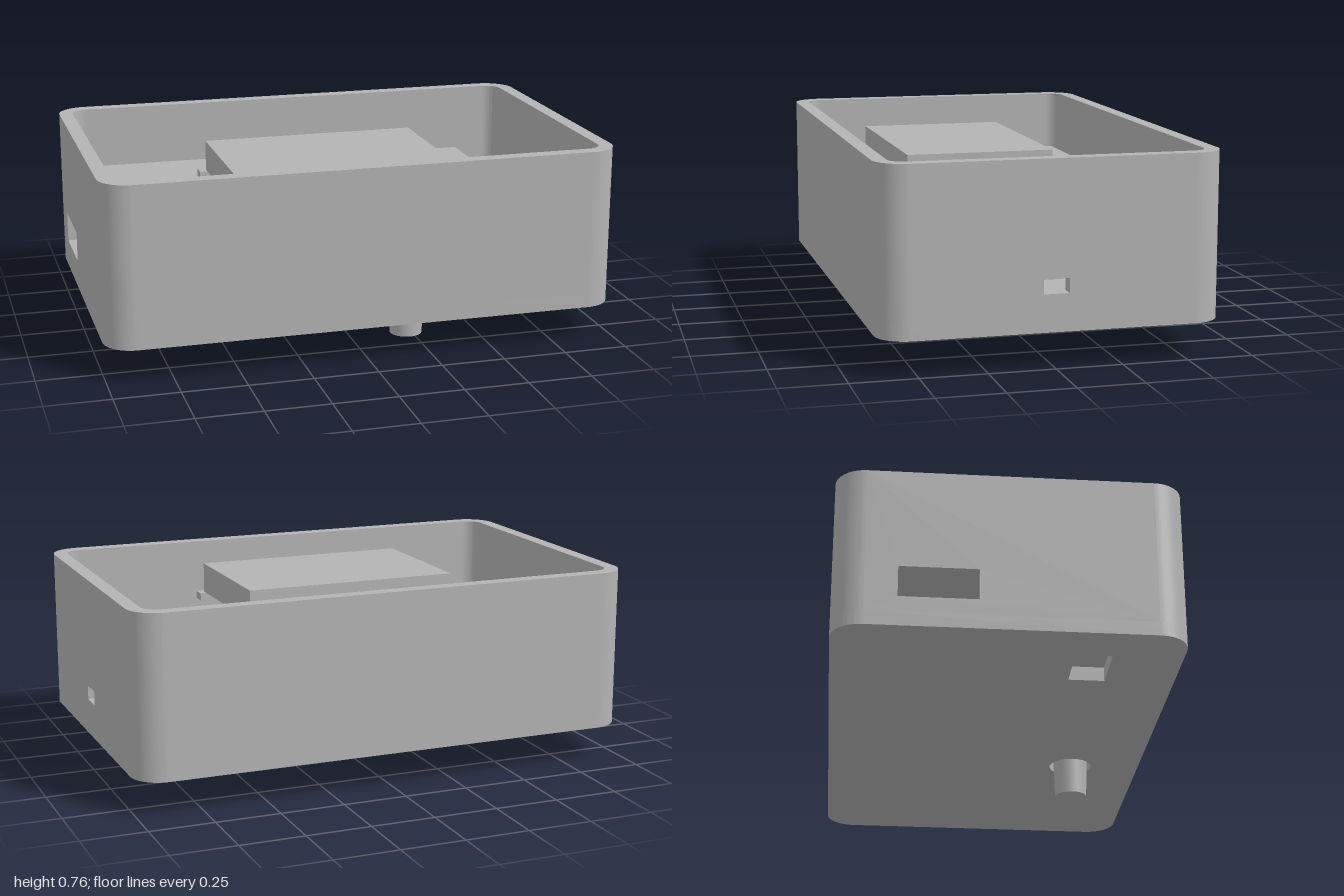
import * as THREE from 'three';
import { toCreasedNormals } from 'three/addons/utils/BufferGeometryUtils.js';

const BASE = 0.135, FLOOR = 0.19, TOP = 0.76; // heights of the tray
const W = 1, D = 0.64, T = 0.055, R = 0.115;  // half width, half depth, wall, corner radius

// Rectangular hole or outline, given by its limits
function rect(Type, x0, x1, y0, y1) {
  return new Type([[x0, y0], [x1, y0], [x1, y1], [x0, y1]].map(p => new THREE.Vector2(...p)));
}

function roundedRect(w, d, r) {
  const s = new THREE.Shape();
  s.absarc(w - r, d - r, r, 0, Math.PI / 2);
  s.absarc(r - w, d - r, r, Math.PI / 2, Math.PI);
  s.absarc(r - w, r - d, r, Math.PI, Math.PI * 1.5);
  s.absarc(w - r, r - d, r, Math.PI * 1.5, Math.PI * 2);
  s.closePath();
  return s;
}

function extrude(shape, depth) {
  const g = new THREE.ExtrudeGeometry(shape, { depth, bevelEnabled: false, curveSegments: 12 });
  return toCreasedNormals(g, 0.5);
}

export function createModel() {
  const model = new THREE.Group();
  const grey = new THREE.MeshStandardMaterial({ color: 0xb3b3b3 });
  grey.name = 'light grey';

  function add(name, geometry, parent = model) {
    const m = new THREE.Mesh(geometry, grey);
    m.name = name;
    parent.add(m);
    return m;
  }
  // Box from its limits on each axis
  function box(name, x0, x1, y0, y1, z0, z1, parent) {
    const m = add(name, new THREE.BoxGeometry(x1 - x0, y1 - y0, z1 - z0), parent);
    m.position.set((x0 + x1) / 2, (y0 + y1) / 2, (z0 + z1) / 2);
    return m;
  }

  // Tray floor with the button hole and the switch slot (shape y is -z)
  const tray = new THREE.Group();
  tray.name = 'tray';
  model.add(tray);
  const floor = roundedRect(W, D, R);
  const buttonHole = new THREE.Path();
  buttonHole.absarc(0.23, -0.36, 0.085, 0, Math.PI * 2, true);
  floor.holes.push(buttonHole, rect(THREE.Path, -0.82, -0.61, -0.38, -0.245));
  add('trayFloor', extrude(floor, FLOOR - BASE).rotateX(-Math.PI / 2), tray).position.y = BASE;

  // Front and back walls
  for (const s of [1, -1]) {
    const a = s * D, b = s * (D - T);
    box(s > 0 ? 'frontWall' : 'backWall', R - W, W - R, FLOOR, TOP, Math.min(a, b), Math.max(a, b), tray);
  }

  // Side walls, each with a socket opening (shape x is -z)
  function sideWall(name, x, z0, z1, y0, y1) {
    const s = rect(THREE.Shape, R - D, D - R, FLOOR, TOP);
    s.holes.push(rect(THREE.Path, -z1, -z0, y0, y1));
    add(name, extrude(s, T).rotateY(Math.PI / 2), tray).position.x = x;
  }
  sideWall('leftWall', W - T, -0.048, 0.048, 0.275, 0.33);
  sideWall('rightWall', -W, -0.405, -0.115, 0.25, 0.37);

  // Rounded corner posts
  const corner = new THREE.Shape();
  corner.absarc(0, 0, R, 0, Math.PI / 2, false);
  corner.absarc(0, 0, R - T, Math.PI / 2, 0, true);
  corner.closePath();
  const cornerGeometry = extrude(corner, TOP - FLOOR).rotateX(-Math.PI / 2);
  [[1, -1], [-1, -1], [-1, 1], [1, 1]].forEach(([sx, sz], i) => {
    const m = add('trayCorner', cornerGeometry, tray);
    m.position.set(sx * (W - R), FLOOR, sz * (D - R));
    m.rotation.y = i * Math.PI / 2;
  });

  // Display block on two mounting bars
  box('display', -0.46, 0.4, 0.58, 0.7, -0.16, 0.41);
  for (const z of [-0.19, 0.38]) box('displayBar', -0.49, 0.425, 0.55, 0.58, z, z + 0.06);

  // Circuit boards and their connectors
  box('mainBoard', -0.86, -0.145, 0.465, 0.527, -0.53, -0.02);
  box('boardSocket', -0.915, -0.83, 0.49, 0.552, -0.39, -0.16);
  box('batteryPack', -0.03, 0.71, 0.44, 0.527, -0.44, -0.02);
  box('sideSocket', 0.655, 0.9, 0.305, 0.42, -0.055, 0.048);

  // Low holders: a plate between two upright rails
  function holder(name, x0, x1, z0, z1) {
    const g = new THREE.Group();
    g.name = name;
    model.add(g);
    box('holderPlate', x0 + T, x1 - T, 0.225, 0.28, z0, z1, g);
    for (const x of [x0, x1 - T]) box('holderRail', x, x + T, FLOOR, 0.325, z0, z1, g);
  }
  holder('switchHolder', -0.86, -0.32, 0.1, 0.5);
  holder('buttonHolder', -0.145, 0.465, 0.21, 0.5);

  // Tapered push button below the floor
  const button = add('button', new THREE.CylinderGeometry(0.071, 0.064, 0.225, 32));
  button.position.set(0.23, 0.1125, 0.36);

  return model;
}
